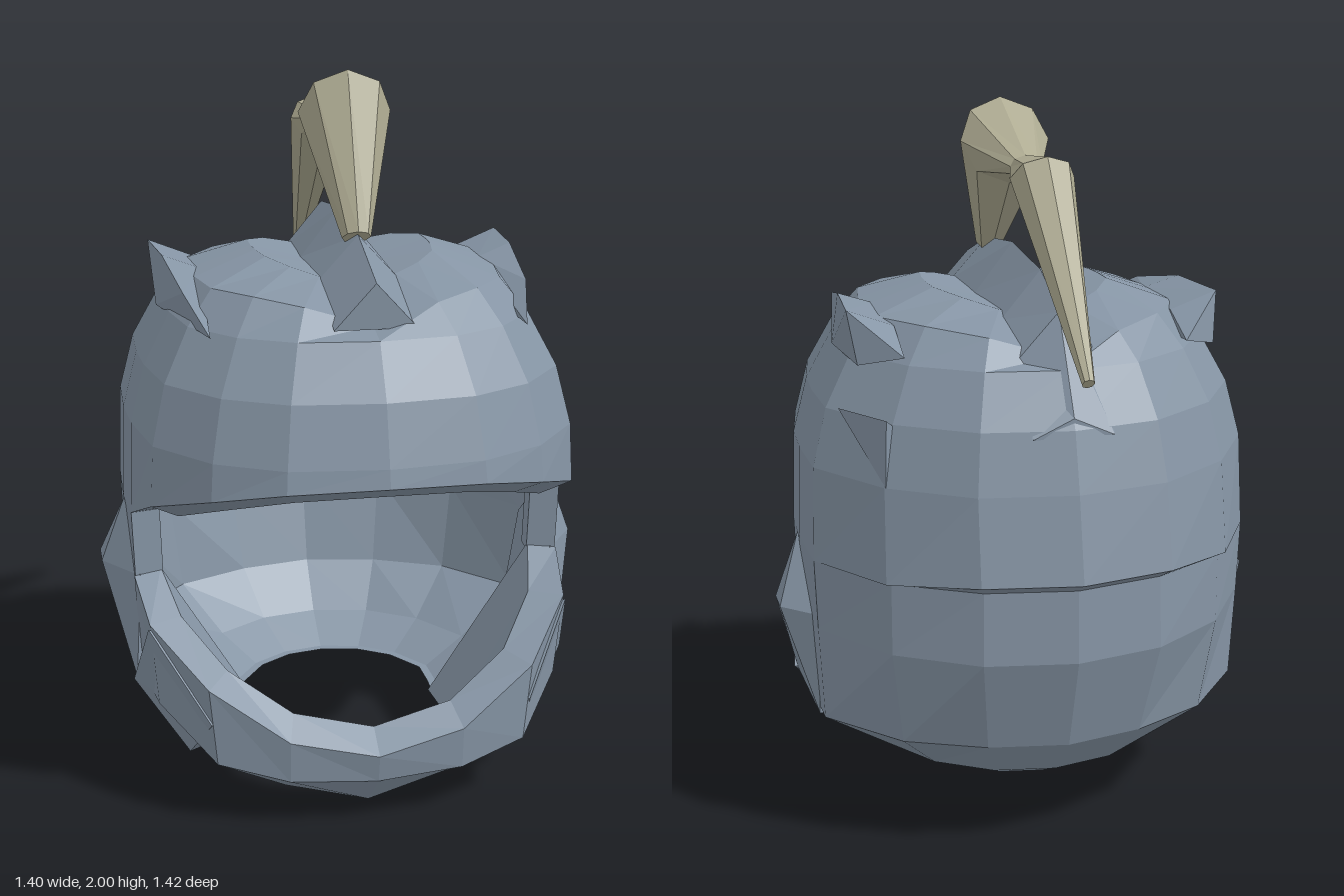
import * as THREE from 'three';
import { ConvexGeometry } from 'three/addons/geometries/ConvexGeometry.js';

const make = (name, hex) => {
  const m = new THREE.MeshStandardMaterial({ color: hex, flatShading: true, side: THREE.DoubleSide });
  m.name = name;
  return m;
};

// Surface through rows of points; each row may close on itself.
function loft(rows, { closed = false, caps = false } = {}) {
  const n = rows[0].length, idx = [];
  const cols = closed ? n : n - 1;
  for (let r = 0; r < rows.length - 1; r++) {
    for (let c = 0; c < cols; c++) {
      const a = r * n + c, b = r * n + (c + 1) % n;
      idx.push(a, a + n, b, b, a + n, b + n);
    }
  }
  if (caps) {
    const last = (rows.length - 1) * n;
    for (let c = 1; c < n - 1; c++) idx.push(0, c, c + 1, last, last + c + 1, last + c);
  }
  const g = new THREE.BufferGeometry();
  g.setAttribute('position', new THREE.Float32BufferAttribute(rows.flat(2), 3));
  g.setIndex(idx);
  g.computeVertexNormals();
  return g;
}

const convex = (pts) => new ConvexGeometry(pts.map((p) => new THREE.Vector3(...p)));
const flipX = (p) => [-p[0], p[1], p[2]];
const mirrorRing = (half) => [...half, ...half.slice(1, -1).reverse().map(flipX)];

// Plan outline of one half, front to back: x, z, height of the dome's lower edge
const OUTLINE = [
  [0, 0.71, 1.01], [0.26, 0.68, 1.0], [0.44, 0.58, 0.96], [0.58, 0.4, 0.895], [0.62, 0.17, 0.8],
  [0.63, 0, 0.79], [0.625, -0.23, 0.8], [0.475, -0.48, 0.805], [0.26, -0.64, 0.83], [0, -0.69, 0.83],
];
const LAST = OUTLINE.length - 1;

// Dome rows: height, scale of the outline
const DOME = [[1.51, 0.02], [1.51, 0.4], [1.45, 0.68], [1.36, 0.8], [1.22, 0.92], [1.06, 0.985]];
// Lower shell rows: height, scale at the sides, scale at the back
const LOWER = [[0.8, 1, 0.93], [0.6, 0.99, 0.945], [0.33, 0.97, 0.83], [0.2, 0.68, 0.65], [0.13, 0.48, 0.46]];

// The top of the dome dips towards the middle to seat the crest
function domeRow([y, s]) {
  return mirrorRing(OUTLINE.map(([x, z]) => {
    const dip = y > 1.4 ? 0.07 * Math.max(0, 1 - (x * s) / 0.24) : 0;
    return [x * s, y - dip, z * s * (z < 0 ? 0.945 : 1)];
  }));
}

function lowerRow([y, side, back]) {
  const half = [];
  for (let i = 4; i <= LAST; i++) {
    const t = THREE.MathUtils.clamp((i - 6) / 2, 0, 1);
    const s = side + (back - side) * t;
    half.push([OUTLINE[i][0] * s, y, OUTLINE[i][1] * s]);
  }
  return [...half, ...half.slice(0, -1).reverse().map(flipX)];
}

export function createModel() {
  const model = new THREE.Group();
  model.name = 'hornedHelmet';
  const steel = make('blueGreySteel', 0x8695a5);
  const bone = make('paleBone', 0xaeab92);
  const add = (name, geometry, material = steel) => {
    const mesh = new THREE.Mesh(geometry, material);
    mesh.name = name;
    model.add(mesh);
  };
  const addPair = (name, pts) => {
    add(name + 'Left', convex(pts));
    add(name + 'Right', convex(pts.map(flipX)));
  };

  // Dome, and the flange under its overhanging brow
  const edge = mirrorRing(OUTLINE.map(([x, z, y]) => [x, y, z]));
  add('dome', loft([...DOME.map(domeRow), edge], { closed: true }));
  const brow = [...edge.slice(-4), ...edge.slice(0, 5)];
  add('browUnderside', loft([brow, brow.map(([x, y, z]) => [x * 0.87, y - (z > 0.3 ? 0.05 : 0), z * 0.87])]));

  // Lower back shell, stepped in below the rear lip, with flanges beside the face opening
  const lower = [edge.slice(4, -3), ...LOWER.map(lowerRow)];
  add('backShell', loft(lower));
  const rim = lower.at(-1);
  add('neckRim', loft([rim, rim.map(([x, y, z]) => [x * 0.92, y, z * 0.92])]));
  const side = lower.slice(1, 3).map((r) => r[0]);
  const flange = [side, side.map(([x, y, z]) => [x * 0.87, y, z - 0.02]), side.map(([x, y, z]) => [x * 0.88, y, z - 0.09])];
  add('faceOpeningEdgeLeft', loft(flange));
  add('faceOpeningEdgeRight', loft(flange.map((r) => r.map(flipX))));

  // Chin guard: five-sided sections from the left cheek to the middle, then mirrored
  const chin = [
    [[0.54, 0.62, 0.14], [0.617, 0.61, 0.17], [0.605, 0.32, 0.165], [0.3, 0.13, 0.1], [0.26, 0.14, 0.08]],
    [[0.5, 0.53, 0.29], [0.59, 0.53, 0.34], [0.57, 0.29, 0.33], [0.33, 0.13, 0.25], [0.27, 0.14, 0.21]],
    [[0.39, 0.42, 0.43], [0.45, 0.4, 0.51], [0.43, 0.18, 0.51], [0.35, 0.1, 0.36], [0.27, 0.13, 0.3]],
    [[0.22, 0.31, 0.5], [0.24, 0.26, 0.58], [0.24, 0.14, 0.57], [0.23, 0.05, 0.42], [0.19, 0.11, 0.38]],
    [[0, 0.26, 0.52], [0, 0.21, 0.605], [0, 0.13, 0.59], [0, 0, 0.45], [0, 0.08, 0.42]],
  ];
  const sections = [...chin, ...chin.slice(0, -1).reverse().map((s) => s.map(flipX))];
  add('chinGuard', loft(sections, { closed: true, caps: true }));

  // Cheek flaps flaring out behind the chin, and ear bosses
  addPair('cheekFlap', [
    [0.595, 0.52, 0.345], [0.445, 0.3, 0.515], [0.63, 0.31, 0.2], [0.49, 0.15, 0.36],
    [0.55, 0.32, 0.19], [0.42, 0.17, 0.35], [0.53, 0.48, 0.32], [0.4, 0.3, 0.47],
  ]);
  addPair('earBoss', [
    [0.63, 0.8, 0.03], [0.7, 0.61, 0.03], [0.7, 0.61, -0.06], [0.6, 0.61, 0.17], [0.6, 0.61, -0.16],
    [0.62, 0.31, 0.19], [0.61, 0.31, -0.15], [0.55, 0.31, 0.18], [0.55, 0.31, -0.15],
  ]);

  // Side ridges rising towards the back
  addPair('sideRidge', [
    [0.42, 1.36, 0.46], [0.47, 1.44, 0.27], [0.5, 1.49, 0], [0.52, 1.49, -0.24], [0.4, 1.455, 0.02],
    [0.39, 1.38, -0.36], [0.39, 1.44, -0.23], [0.52, 1.35, 0], [0.5, 1.35, -0.28],
  ]);

  // Small barb behind the left temple
  add('barb', convex([[0.55, 1.23, -0.25], [0.46, 1.24, -0.45], [0.465, 1.06, -0.45], [0.41, 1.19, -0.38]]));

  // Central crest: z, base height, peak height
  const crest = [
    [0.52, 1.38, 1.5], [0.28, 1.46, 1.58], [0, 1.47, 1.61], [-0.28, 1.45, 1.58], [-0.45, 1.38, 1.5], [-0.59, 1.2, 1.25],
  ].map(([z, base, peak]) => [[-0.11, base, z], [0, peak, z], [0.11, base, z]]);
  add('crest', loft(crest, { closed: true, caps: true }));

  // Bent horn: outer edge z, y, inner edge z, y, half width
  const horn = [
    [0.285, 1.59, 0.225, 1.55, 0.04], [0.13, 2.0, 0.03, 1.77, 0.128], [-0.13, 1.865, -0.15, 1.81, 0.045],
    [-0.34, 1.885, -0.24, 1.765, 0.088], [-0.71, 1.38, -0.69, 1.355, 0.017],
  ].map(([oz, oy, iz, iy, w]) => {
    const ring = [];
    for (let k = 0; k < 8; k++) {
      const a = (k / 8) * Math.PI * 2, c = Math.cos(a) / 2;
      ring.push([Math.sin(a) * w, (oy + iy) / 2 + (oy - iy) * c, (oz + iz) / 2 + (oz - iz) * c]);
    }
    return ring;
  });
  add('horn', loft(horn, { closed: true, caps: true }), bone);

  return model;
}
